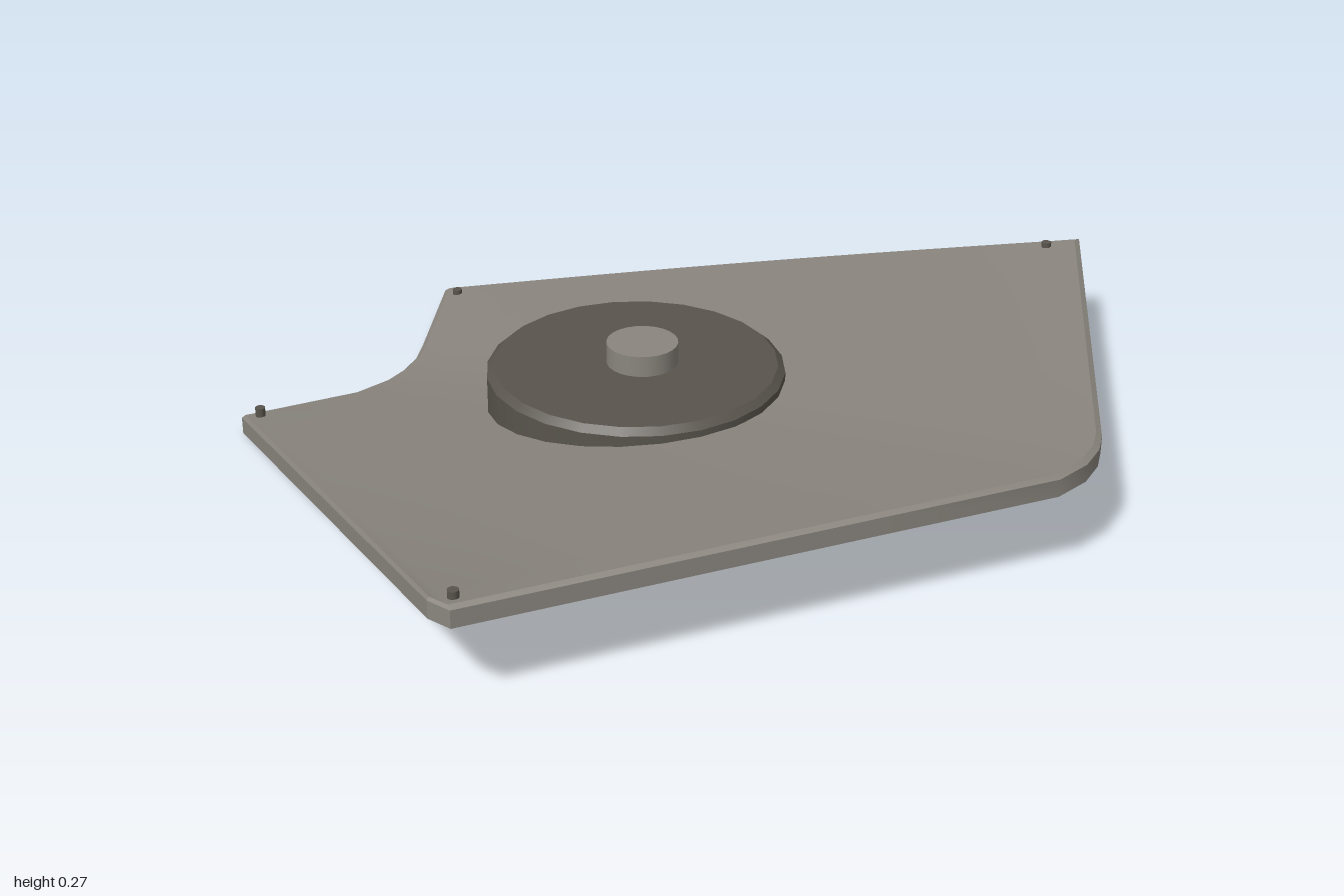
import * as THREE from 'three';
import { toCreasedNormals } from 'three/addons/utils/BufferGeometryUtils.js';

// Plan outline as matching stations on the low (left) and high (right) edges:
// t, low x, low z, high x, high z
const STATIONS = [
  [0, -1, -0.18, -0.36, 0.915],
  [0.04, -0.97, -0.197, -0.31, 0.947],
  [0.3, -0.76, -0.32, 0.5, 0.523],
  [0.42, -0.7, -0.39, 0.87, 0.33],
  [0.48, -0.665, -0.46, 0.93, 0.26],
  [0.54, -0.645, -0.53, 0.96, 0.19],
  [0.6, -0.642, -0.6, 0.97, 0.13],
  [1, -0.64, -0.935, 0.99, -0.94],
];

// Point on the ruled panel surface; f runs from the low edge to the high edge
function surface(f, t, drop = 0) {
  let i = 0;
  while (i < STATIONS.length - 2 && t > STATIONS[i + 1][0]) i++;
  const a = STATIONS[i], b = STATIONS[i + 1];
  const k = (t - a[0]) / (b[0] - a[0]);
  const s = a.map((v, j) => v + (b[j] - v) * k);
  const bow = Math.sin(Math.PI * f);
  return new THREE.Vector3(
    s[1] + (s[3] - s[1]) * f,
    0.05 + 0.207 * f + 0.02 * bow * Math.sin(Math.PI * t) - drop,
    s[2] + (s[4] - s[2]) * f - 0.016 * bow * t
  );
}

// Skin over rows of points
function skin(rows, crease) {
  const n = rows[0].length, index = [];
  for (let r = 0; r < rows.length - 1; r++) {
    for (let c = 0; c < n - 1; c++) {
      const a = r * n + c, b = a + n;
      index.push(a, a + 1, b, a + 1, b + 1, b);
    }
  }
  const g = new THREE.BufferGeometry().setFromPoints(rows.flat());
  g.setIndex(index);
  g.computeVertexNormals();
  return toCreasedNormals(g, crease);
}

export function createModel() {
  const model = new THREE.Group();
  model.name = 'panelWithDial';
  const panelMat = new THREE.MeshStandardMaterial({ color: 0x8a857e, side: THREE.DoubleSide });
  panelMat.name = 'warm grey';
  const darkMat = new THREE.MeshStandardMaterial({ color: 0x59544d });
  darkMat.name = 'dark grey';

  const add = (name, geometry, material, x = 0, y = 0, z = 0) => {
    const mesh = new THREE.Mesh(geometry, material);
    mesh.name = name;
    mesh.position.set(x, y, z);
    model.add(mesh);
    return mesh;
  };

  // Twisted top sheet, slightly inset from the rim
  const m = 0.008;
  const ts = [...STATIONS.map((s) => s[0]), 0.15, 0.7, 0.8, 0.9].sort((a, b) => a - b);
  const fs = Array.from({ length: 17 }, (_, i) => i / 16);
  const inset = (v) => Math.min(1 - m, Math.max(m, v));
  add('topSheet', skin(ts.map((t) => fs.map((f) => surface(inset(f), inset(t)))), 0.5), panelMat);

  // Rim: bevelled shoulder and a skirt, open underneath
  const around = [
    ...fs.map((f) => [f, 0]),
    ...ts.slice(1).map((t) => [1, t]),
    ...fs.slice(0, -1).reverse().map((f) => [f, 1]),
    ...ts.slice(0, -1).reverse().map((t) => [0, t]),
  ];
  add('rim', skin([
    around.map(([f, t]) => surface(f, t, 0.05)),
    around.map(([f, t]) => surface(f, t, 0.009)),
    around.map(([f, t]) => surface(inset(f), inset(t))),
  ], 0.45), panelMat);

  // Level dial passing through the sheet, with a bevelled top edge
  const dx = -0.067, dz = -0.202;
  add('dialBody', new THREE.CylinderGeometry(0.345, 0.345, 0.115, 24), darkMat, dx, 0.1475, dz);
  add('dialBevel', new THREE.CylinderGeometry(0.328, 0.345, 0.015, 24), darkMat, dx, 0.2125, dz);
  add('dialKnob', new THREE.CylinderGeometry(0.083, 0.083, 0.06, 24), panelMat, -0.052, 0.24, -0.204);

  // Corner studs
  const studs = [[-0.6, -0.89, 0.055], [0.905, -0.89, 0.246], [-0.95, -0.165, 0.066], [-0.31, 0.905, 0.257]];
  for (const [x, z, y] of studs) {
    add('cornerStud', new THREE.CylinderGeometry(0.012, 0.012, 0.025, 12), darkMat, x, y, z);
  }
  return model;
}
